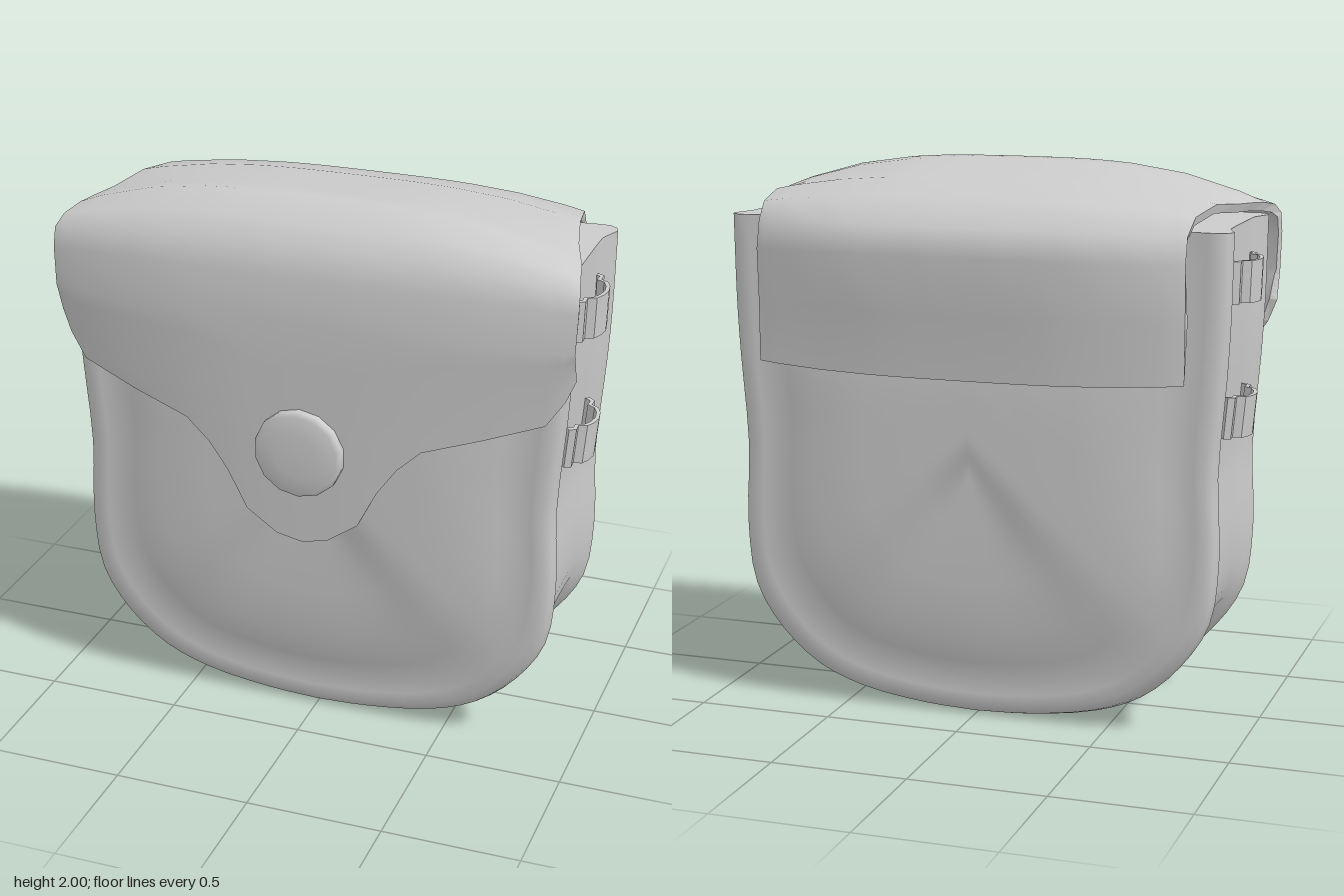
import * as THREE from 'three';
import { mergeVertices } from 'three/addons/utils/BufferGeometryUtils.js';

const material = new THREE.MeshStandardMaterial({ color: 0xcccccc, side: THREE.DoubleSide });
const V = (x, y, z) => new THREE.Vector3(x, y, z);

// Surface through rows of points, smooth or faceted.
function skin(rows, smooth = true) {
  const n = rows[0].length, index = [];
  for (let i = 0; i < rows.length - 1; i++) {
    for (let j = 0; j < n - 1; j++) {
      const a = i * n + j, b = a + n;
      index.push(a, b, b + 1, a, b + 1, a + 1);
    }
  }
  let geo = new THREE.BufferGeometry().setFromPoints(rows.flat());
  geo.setIndex(index);
  geo = smooth ? mergeVertices(geo, 1e-5) : geo.toNonIndexed();
  geo.computeVertexNormals();
  return geo;
}

function add(parent, name, geo) {
  const mesh = new THREE.Mesh(geo, material);
  mesh.name = name;
  parent.add(mesh);
  return mesh;
}

// Pouch: a U-shaped outline carrying a gusset, rolled rim and padded panel section.
function makeBody(parent) {
  const top = 1.81;
  const half = [[0.93, top], [0.925, 1.5], [0.915, 1.3], [0.89, 0.95], [0.9, 0.66], [0.87, 0.42],
    [0.765, 0.25], [0.62, 0.12], [0.45, 0.05], [0.2, 0.01], [0, 0]];
  const right = new THREE.CatmullRomCurve3(half.map(([x, y]) => V(x, y, 0))).getPoints(30);
  right[30].x = 0;
  const outline = [...right.map(p => V(-p.x, p.y, 0)), ...right.slice(0, -1).reverse()];

  // [inset from the outline, z, extra padding]
  const front = [[0.035, 0.1, 0], [0.033, 0.19, 0], [0.015, 0.24, 0], [0, 0.275, 0], [0.01, 0.305, 0],
    [0.04, 0.323, 0], [0.08, 0.322, 0], [0.13, 0.316, 0], [0.2, 0.318, 0.015], [0.32, 0.32, 0.045],
    [0.5, 0.32, 0.053], [0.7, 0.32, 0.055], [0.9, 0.32, 0.055]];
  const section = [...front.map(([d, z, b]) => [d, -z, -b]).reverse(), [0.035, 0, 0], ...front];

  const rows = outline.map(p => section.map(([d, z, b]) => {
    const y = top + (p.y - top) * (1 - d / 1.8);
    const pad = THREE.MathUtils.clamp((1.85 - y) / 0.6, 0, 1);
    const taper = 1 - 0.07 * (1 - THREE.MathUtils.smoothstep(p.y, 0, 0.3));
    return V(p.x * (1 - d / 0.9), y, z * taper + b * pad);
  }));
  add(parent, 'pouchBody', skin(rows));

  // Closed mouth under the flap
  const loop = [...rows[0], ...rows[rows.length - 1].slice(1, -1).reverse()];
  const lid = new THREE.ShapeGeometry(new THREE.Shape(loop.map(p => new THREE.Vector2(p.x, -p.z))));
  lid.rotateX(-Math.PI / 2).translate(0, top, 0);
  add(parent, 'pouchTop', lid);
}

// Flap: back hem, over the top, down to a shaped front hem with a tab.
function makeFlap(parent) {
  // [half width, centre z, centre y, edge z, edge y]
  const stations = [
    [0.79, -0.44, 1.27, -0.385, 1.29], [0.79, -0.46, 1.5, -0.385, 1.5], [0.79, -0.495, 1.71, -0.395, 1.7],
    [0.79, -0.465, 1.81, -0.37, 1.8], [0.8, -0.35, 1.9, -0.3, 1.86], [0.83, -0.15, 1.95, -0.12, 1.885],
    [0.87, 0.05, 1.972, 0.05, 1.87], [0.905, 0.17, 1.993, 0.16, 1.865], [0.925, 0.24, 1.998, 0.22, 1.86],
    [0.945, 0.34, 1.94, 0.31, 1.845], [0.958, 0.41, 1.87, 0.36, 1.81], [0.96, 0.445, 1.77, 0.375, 1.74],
    [0.955, 0.457, 1.6, 0.38, 1.6]];
  // [fraction of half width, front hem height]
  const hem = [[0, 0.76], [0.1, 0.78], [0.22, 0.86], [0.295, 1], [0.37, 1.1], [0.46, 1.18],
    [0.68, 1.25], [0.9, 1.32], [0.965, 1.41], [1, 1.49]];
  const columns = [...hem.slice(1).reverse().map(([u, h]) => [-u, h]), ...hem];
  const mix = THREE.MathUtils.lerp;

  const outer = stations.map(([w, cz, cy, ez, ey]) => columns.map(([u]) => {
    const k = Math.abs(u) ** 3;
    return V(u * w, mix(cy, ey, k), mix(cz, ez, k));
  }));
  const last = outer[outer.length - 1];
  for (let s = 1; s <= 5; s++) {
    const t = s / 5;
    outer.push(columns.map(([u, h], j) =>
      V(last[j].x, mix(last[j].y, h, t), last[j].z - t * mix(0.015, 0.04, Math.abs(u) ** 3))));
  }

  // Inner face, offset along the normals
  const n = columns.length, m = outer.length, outside = skin(outer), normal = outside.attributes.normal;
  const inner = outer.map((row, i) => row.map((p, j) =>
    p.clone().addScaledVector(new THREE.Vector3().fromBufferAttribute(normal, i * n + j), -0.033)));

  // Cut edge around the leather
  const rim = [];
  const edge = (i, j) => rim.push([outer[i][j], inner[i][j]]);
  for (let j = 0; j < n; j++) edge(0, j);
  for (let i = 1; i < m; i++) edge(i, n - 1);
  for (let j = n - 2; j >= 0; j--) edge(m - 1, j);
  for (let i = m - 2; i >= 0; i--) edge(i, 0);

  const flap = new THREE.Group();
  flap.name = 'flap';
  add(flap, 'flapOutside', outside);
  add(flap, 'flapLining', skin([...inner].reverse()));
  add(flap, 'flapEdge', skin(rim, false));
  parent.add(flap);
}

// Round stud closing the flap
function makeButton(parent) {
  const profile = [[0.165, 0], [0.165, 0.095], [0.163, 0.1], [0.15, 0.112], [0.08, 0.119], [0, 0.12]];
  const geo = new THREE.LatheGeometry(profile.map(([r, h]) => new THREE.Vector2(r, h)), 14);
  geo.rotateX(Math.PI / 2).translate(0, 1.12, 0.375);
  add(parent, 'button', geo);
}

// Two bent strap loops on each side
function makeLoops(parent) {
  const path = [[0.135, 0.005], [0.12, 0.028], [0.085, 0.026], [0.07, 0.055], [0.035, 0.07], [-0.01, 0.077],
    [-0.055, 0.07], [-0.09, 0.055], [-0.105, 0.026], [-0.14, 0.028], [-0.155, 0.005]];
  const back = path.map(([a, b]) => [a * 0.92, b - 0.014]).reverse();
  const shape = new THREE.Shape([...path, ...back].map(([a, b]) => new THREE.Vector2(a, b)));
  const geo = new THREE.ExtrudeGeometry(shape, { depth: 0.15, bevelEnabled: false });
  geo.translate(0, 0, -0.075);
  geo.applyMatrix4(new THREE.Matrix4().makeBasis(V(0, 0, 1), V(1, 0, 0), V(0, 1, 0)));
  for (const [name, turn] of [['leftLoops', 0], ['rightLoops', Math.PI]]) {
    const side = new THREE.Group();
    side.name = name;
    side.rotation.y = turn;
    for (const [label, x, y, tilt] of [['upperLoop', 0.89, 1.615, -0.03], ['lowerLoop', 0.875, 1.135, -0.09]]) {
      const loop = add(side, label, geo);
      loop.position.set(x, y, 0);
      loop.rotation.z = tilt;
    }
    parent.add(side);
  }
}

export function createModel() {
  const bag = new THREE.Group();
  bag.name = 'beltPouch';
  makeBody(bag);
  makeFlap(bag);
  makeButton(bag);
  makeLoops(bag);
  return bag;
}
